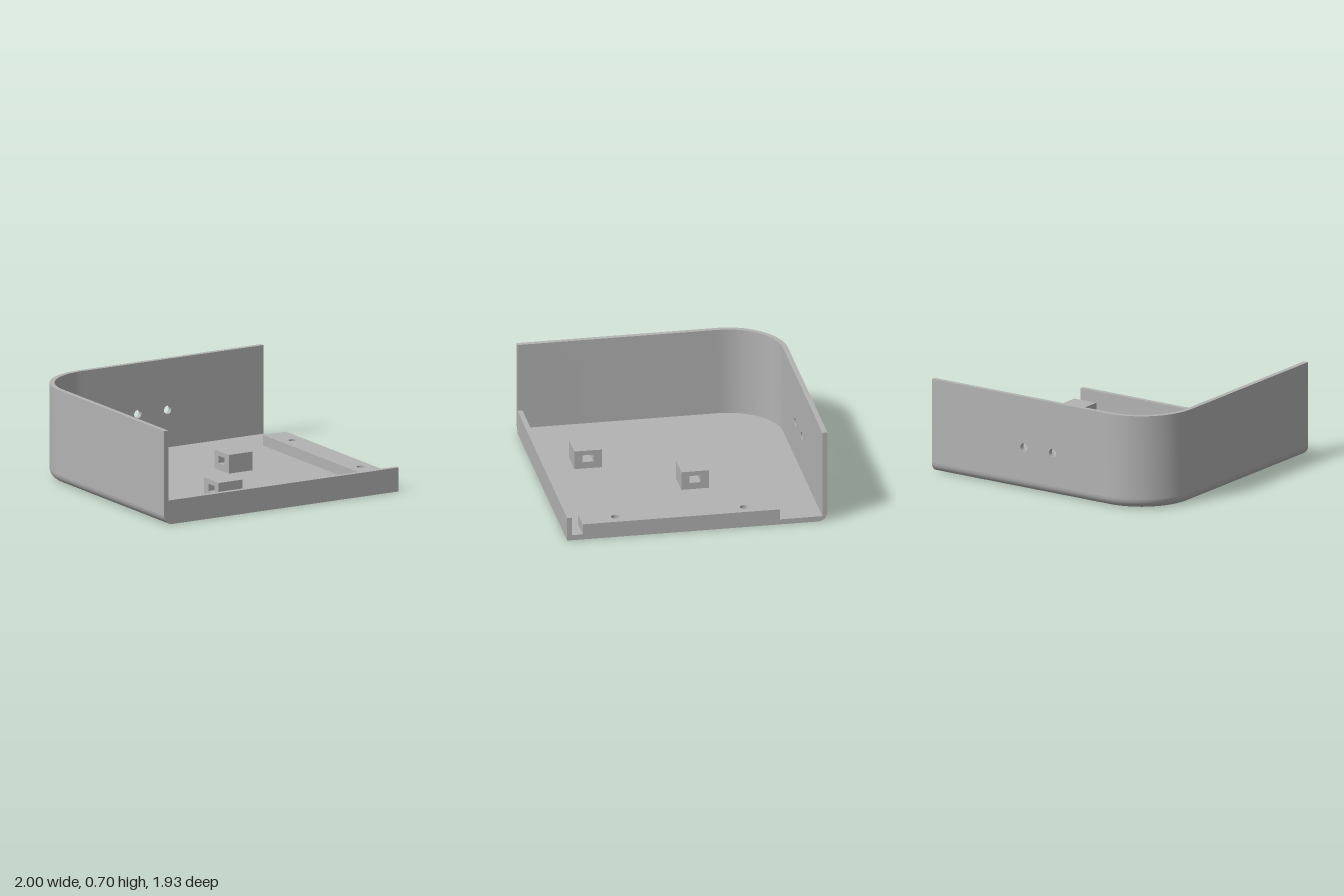
import * as THREE from 'three';
import { toCreasedNormals } from 'three/addons/utils/BufferGeometryUtils.js';

const X = 1, Z = 0.966, H = 0.705;      // half width, half depth, height
const WALL = 0.037, FLOOR = 0.04;       // thicknesses
const R = 0.445, FILLET = 0.07;         // plan corner and bottom edge radii
const ARC = 28;

const grey = new THREE.MeshStandardMaterial({ color: 0xb3b3b3 });
grey.name = 'plain grey';

// Left edge, rounded corner and back edge in plan, inset by d, as [x, z]
function edge(d, xEnd = X) {
  const pts = [[-X + d, Z]];
  for (let i = 0; i <= ARC; i++) {
    const a = (i / ARC) * Math.PI / 2;
    pts.push([-X + R - (R - d) * Math.cos(a), -Z + R - (R - d) * Math.sin(a)]);
  }
  pts.push([xEnd, -Z + d]);
  return pts;
}

// Extrude upwards from a plan outline of [x, z] points
function planShape(points) {
  return new THREE.Shape(points.map(([x, z]) => new THREE.Vector2(x, -z)));
}
function extrude(shape, depth) {
  return new THREE.ExtrudeGeometry(shape, { depth, bevelEnabled: false, curveSegments: 24 });
}
function raise(shape, y0, y1) {
  return extrude(shape, y1 - y0).rotateX(-Math.PI / 2).translate(0, y0, 0);
}
function addHole(shape, x, y, r) {
  shape.holes.push(new THREE.Path().absarc(x, y, r, 0, Math.PI * 2, true));
}

// Sweep a closed profile of [inset, y] along the edge and cap both ends
function sweep(profile) {
  const pos = [], index = [], n = profile.length, rows = ARC + 3;
  for (const [d, y] of profile) for (const [x, z] of edge(d)) pos.push(x, y, z);
  for (let j = 0; j < n; j++) {
    const k = (j + 1) % n;
    for (let i = 0; i < rows - 1; i++) {
      const a = j * rows + i, b = k * rows + i;
      index.push(a, b, a + 1, b, b + 1, a + 1);
    }
  }
  const contour = profile.map(([d, y]) => new THREE.Vector2(d, y));
  for (const [a, b, c] of THREE.ShapeUtils.triangulateShape(contour, [])) {
    index.push(a * rows, b * rows, c * rows);
    index.push(c * rows + rows - 1, b * rows + rows - 1, a * rows + rows - 1);
  }
  const g = new THREE.BufferGeometry();
  g.setAttribute('position', new THREE.Float32BufferAttribute(pos, 3));
  g.setIndex(index);
  return g;
}

export function createModel() {
  const model = new THREE.Group();
  model.name = 'openTray';
  const add = (name, geometry) => {
    const mesh = new THREE.Mesh(toCreasedNormals(geometry, 0.5), grey);
    mesh.name = name;
    model.add(mesh);
  };

  // Floor and the rounded rim below the walls
  add('floor', raise(planShape([...edge(FILLET), [X, Z]]), 0, FLOOR));
  const profile = [];
  for (let i = 0; i <= 8; i++) {
    const a = (i / 8) * Math.PI / 2;
    profile.push([FILLET * (1 - Math.sin(a)), FILLET * (1 - Math.cos(a))]);
  }
  profile.push([WALL, FILLET], [WALL, FLOOR], [FILLET, FLOOR]);
  add('roundedRim', sweep(profile));

  // Side wall with the round corner
  const seam = -0.5;
  add('sideWall', raise(planShape([...edge(0, seam), ...edge(WALL, seam).reverse()]), FILLET, H));

  // Back wall with two through holes
  const back = new THREE.Shape();
  back.moveTo(seam, FILLET).lineTo(X, FILLET).lineTo(X, H).lineTo(seam, H).closePath();
  for (const x of [-0.075, 0.18]) addHole(back, x, 0.322, 0.031);
  add('backWall', extrude(back, WALL).translate(0, 0, -Z));

  // Low front lip
  const lipLength = 2 * X - WALL;
  add('frontLip', new THREE.BoxGeometry(lipLength, 0.18 - FLOOR, WALL)
    .translate(X - lipLength / 2, (0.18 + FLOOR) / 2, Z - WALL / 2));

  // Mounting strip with two screw holes along the open side
  const strip = planShape([[0.805, 0.85], [X, 0.85], [X, -0.615], [0.805, -0.615]]);
  for (const z of [-0.365, 0.592]) addHole(strip, 0.907, -z, 0.031);
  add('mountingStrip', raise(strip, FLOOR, 0.12));

  // Two small blocks with a slot
  for (const [x, z] of [[0.243, -0.107], [-0.267, 0.592]]) {
    const block = new THREE.Shape();
    block.moveTo(-0.102, FLOOR).lineTo(0.102, FLOOR).lineTo(0.102, 0.18).lineTo(-0.102, 0.18).closePath();
    const slot = new THREE.Path();
    slot.moveTo(-0.041, 0.09).lineTo(-0.041, 0.145).lineTo(0.041, 0.145).lineTo(0.041, 0.09).closePath();
    block.holes.push(slot);
    add('slottedBlock', extrude(block, 0.204).rotateY(Math.PI / 2).translate(x - 0.102, 0, z));
  }
  return model;
}
